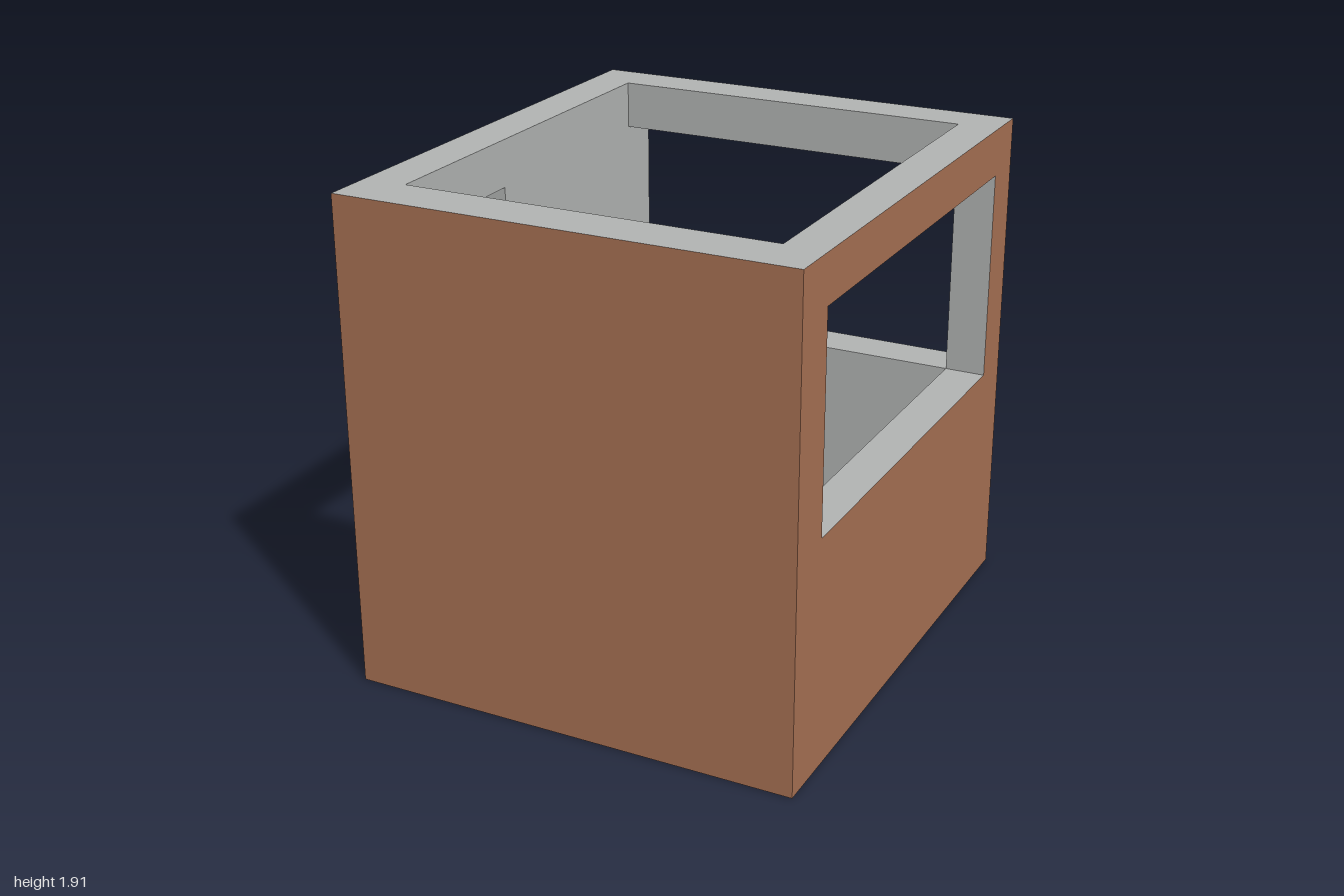
import * as THREE from 'three';

// Outer half sizes, height, inner room limits, opening heights
const W = 0.885, D = 1, H = 1.915;
const X0 = -0.715, X1 = 0.725, Z0 = -0.823, Z1 = 0.8;
const FLOOR = 0.08, SILL = 0.905, HEAD = 1.73, DOOR = 0.155;

const rect = (a, b, c, d) => [[a, c], [b, c], [b, d], [a, d]].map(p => new THREE.Vector2(...p));

export function createModel() {
  const model = new THREE.Group();
  const brick = new THREE.MeshStandardMaterial({ color: 0xa87154 });
  brick.name = 'brick brown';
  const concrete = new THREE.MeshStandardMaterial({ color: 0xb3b5b4 });
  concrete.name = 'concrete grey';

  // Flat wall face, optionally with an opening, turned to face its direction
  const face = (name, material, outline, rx, ry, pos, hole) => {
    const shape = new THREE.Shape(outline);
    if (hole) shape.holes.push(new THREE.Path(hole));
    const mesh = new THREE.Mesh(new THREE.ShapeGeometry(shape), material);
    mesh.name = name;
    mesh.rotation.set(rx, ry, 0);
    mesh.position.set(...pos);
    model.add(mesh);
  };

  // Four inward-facing reveals of an opening; openAxis 0 = x, 2 = z
  const lining = (name, openAxis, x0, x1, y0, y1, z0, z1) => {
    const geo = new THREE.BoxGeometry(x1 - x0, y1 - y0, z1 - z0);
    geo.scale(-1, 1, 1);
    const keep = geo.groups.filter((g, i) => i >> 1 !== openAxis);
    const index = keep.flatMap(g => Array.from(geo.index.array.slice(g.start, g.start + g.count)));
    geo.setIndex(index);
    geo.clearGroups();
    geo.computeVertexNormals();
    const mesh = new THREE.Mesh(geo, concrete);
    mesh.name = name;
    mesh.position.set((x0 + x1) / 2, (y0 + y1) / 2, (z0 + z1) / 2);
    model.add(mesh);
  };

  const Q = Math.PI / 2;

  // Outer brick faces
  face('frontWallOuter', brick, rect(-W, W, 0, H), 0, 0, [0, 0, D]);
  face('backWallOuter', brick, rect(-W, W, 0, H), 0, 2 * Q, [0, 0, -D], rect(-X1, -X0, SILL, HEAD));
  face('windowSideOuter', brick, rect(-D, D, 0, H), 0, Q, [W, 0, 0], rect(-Z1, -Z0, SILL, HEAD));
  face('doorSideOuter', brick, rect(-D, D, 0, H), 0, -Q, [-W, 0, 0], rect(DOOR, Z1, FLOOR, HEAD));

  // Wall top rim, underside and floor
  face('wallTopRim', concrete, rect(-W, W, -D, D), -Q, 0, [0, H, 0], rect(X0, X1, -Z1, -Z0));
  face('underside', concrete, rect(-W, W, -D, D), Q, 0, [0, 0, 0]);
  face('floor', concrete, rect(X0, X1, -Z1, -Z0), -Q, 0, [0, FLOOR, 0]);

  // Inner faces; the windows span the full room, leaving a band below and above
  face('frontWallInner', concrete, rect(-X1, -X0, FLOOR, H), 0, 2 * Q, [0, 0, Z1]);
  for (const [label, a, b] of [['Lower', FLOOR, SILL], ['Upper', HEAD, H]]) {
    face('backWallInner' + label, concrete, rect(X0, X1, a, b), 0, 0, [0, 0, Z0]);
    face('windowSideInner' + label, concrete, rect(Z0, Z1, a, b), 0, -Q, [X1, 0, 0]);
  }
  const aroundDoor = [[-Z1, HEAD], [-DOOR, HEAD], [-DOOR, FLOOR], [-Z0, FLOOR], [-Z0, H], [-Z1, H]]
    .map(p => new THREE.Vector2(...p));
  face('doorSideInner', concrete, aroundDoor, 0, Q, [X0, 0, 0]);

  // Reveals of the openings
  lining('backWindowReveal', 2, X0, X1, SILL, HEAD, -D, Z0);
  lining('sideWindowReveal', 0, X1, W, SILL, HEAD, Z0, Z1);
  lining('doorReveal', 0, -W, X0, FLOOR, HEAD, DOOR, Z1);

  return model;
}
